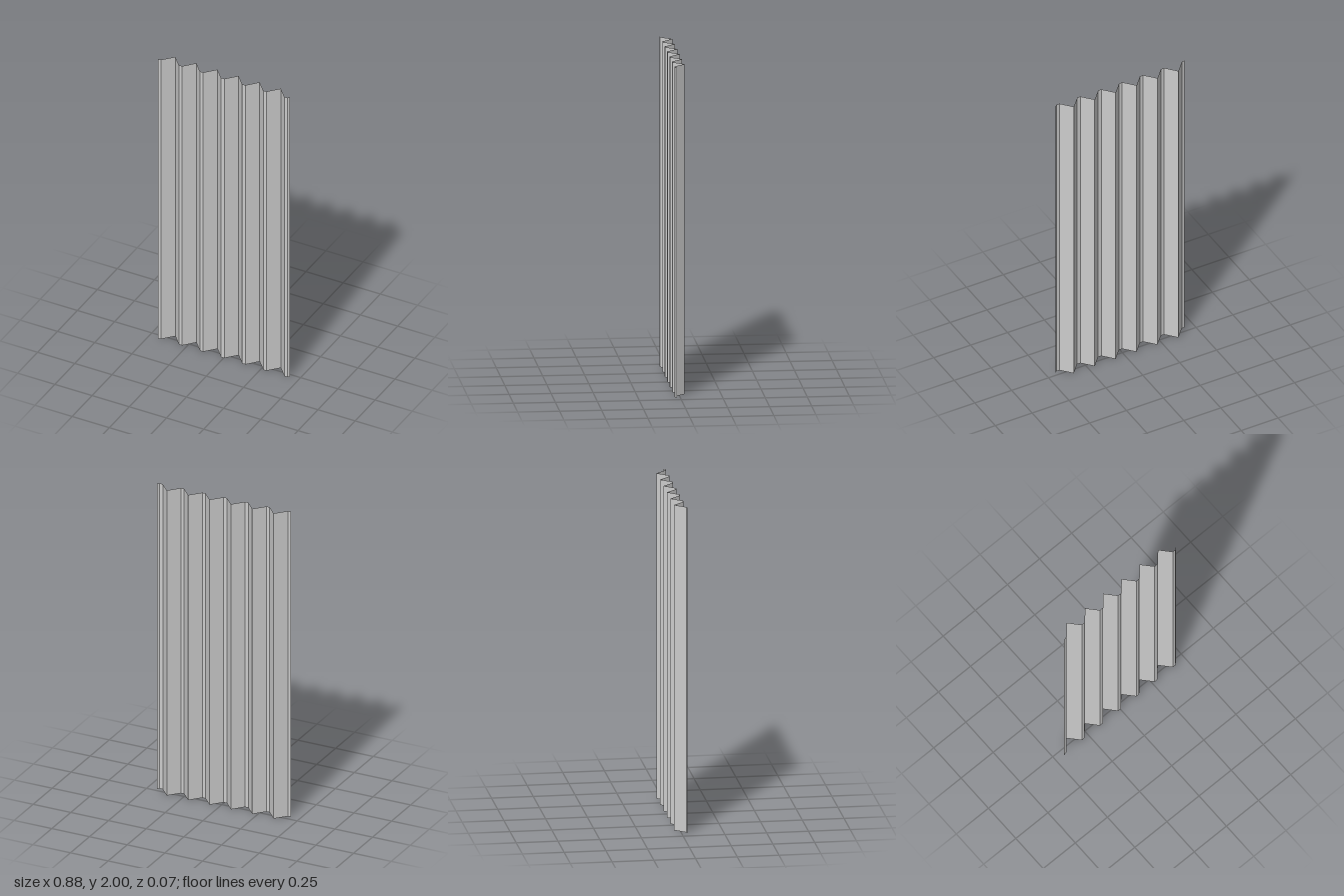
import * as THREE from 'three';

const HEIGHT = 2;
const PITCH = 0.1418;      // distance between folds
const FIRST_FOLD = -0.361; // x of the first rear fold
const HALF_FOLD = 0.06;    // half the width of each V-shaped fold
const FRONT_Z = 0.032;
const BACK_Z = -0.035;

// Plan outline of the sheet as [x, z], running from right to left edge
function sheetProfile() {
  const points = [[-0.44, 0.035]];
  for (let i = 0; i < 6; i++) {
    const x = FIRST_FOLD + i * PITCH;
    points.push([x - HALF_FOLD, FRONT_Z], [x, BACK_Z], [x + HALF_FOLD, FRONT_Z]);
  }
  points.push([FIRST_FOLD + 6 * PITCH - HALF_FOLD, FRONT_Z], [0.44, 0.021]);
  return points;
}

export function createModel() {
  const profile = sheetProfile();

  // Bend a flat plane along the outline
  const geometry = new THREE.PlaneGeometry(1, HEIGHT, profile.length - 1, 1);
  geometry.translate(0, HEIGHT / 2, 0);
  const position = geometry.attributes.position;
  for (let i = 0; i < position.count; i++) {
    const [x, z] = profile[i % profile.length];
    position.setX(i, x);
    position.setZ(i, z);
  }
  geometry.computeVertexNormals();

  const material = new THREE.MeshStandardMaterial({
    color: 0xcccccc,
    flatShading: true,
    side: THREE.DoubleSide,
  });
  const sheet = new THREE.Mesh(geometry, material);
  sheet.name = 'corrugatedSheet';

  const model = new THREE.Group();
  model.name = 'corrugatedPanel';
  model.add(sheet);
  return model;
}
